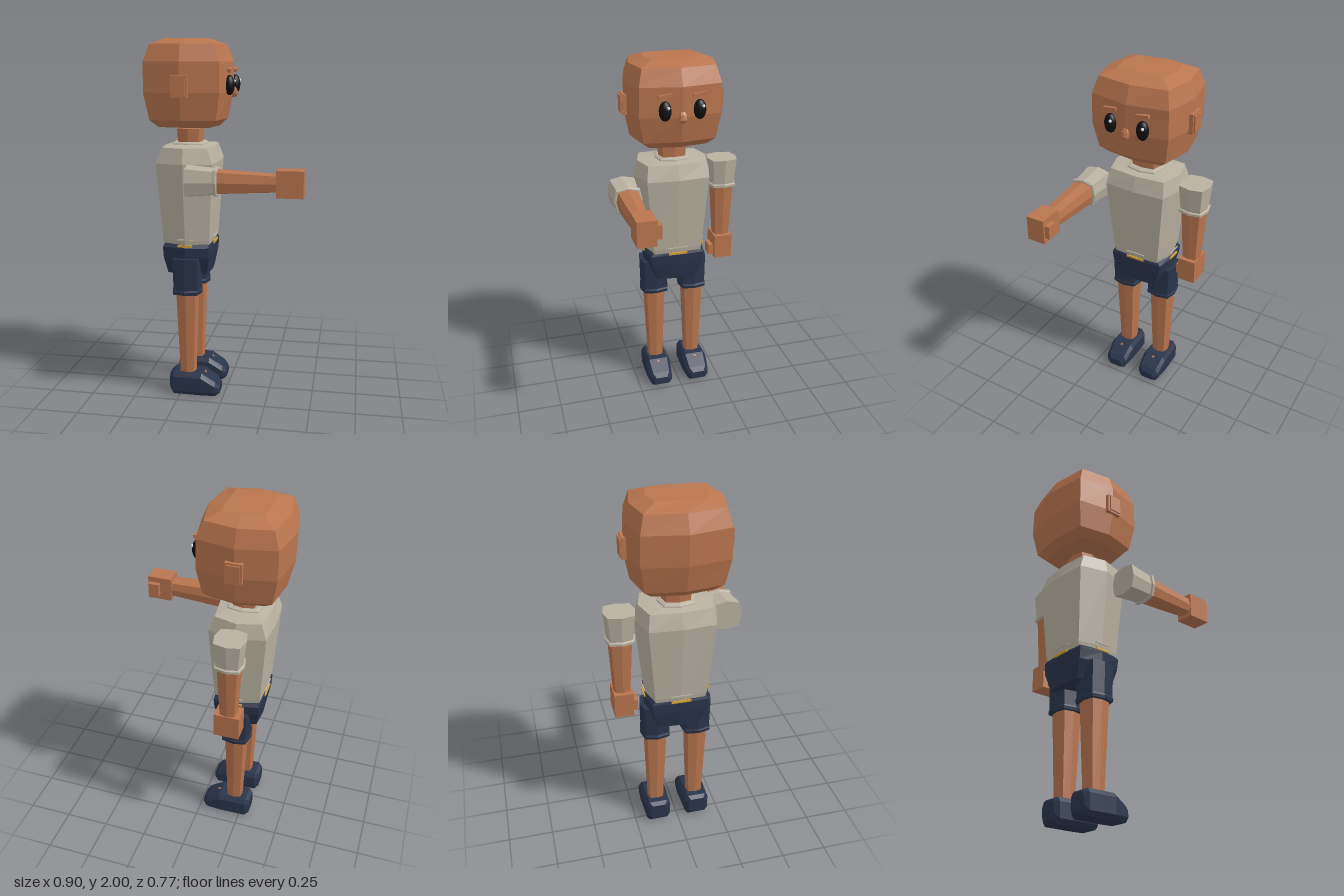
import * as THREE from 'three';

const mat = (name, color) => Object.assign(new THREE.MeshStandardMaterial({ color, flatShading: true }), { name });

// Skin over a stack of equal-length rings of [x, y, z] points, closed with fans at both ends
function loft(rings) {
  const pos = [];
  const tri = (...p) => p.forEach(v => pos.push(...v));
  const n = rings[0].length;
  for (let r = 0; r < rings.length - 1; r++) {
    for (let i = 0; i < n; i++) {
      const j = (i + 1) % n, a = rings[r], b = rings[r + 1];
      tri(a[i], a[j], b[j]);
      tri(a[i], b[j], b[i]);
    }
  }
  const centre = ring => [0, 1, 2].map(k => ring.reduce((s, p) => s + p[k], 0) / n);
  const first = rings[0], last = rings[rings.length - 1];
  for (let i = 0; i < n; i++) {
    const j = (i + 1) % n;
    tri(centre(first), first[j], first[i]);
    tri(centre(last), last[i], last[j]);
  }
  const g = new THREE.BufferGeometry();
  g.setAttribute('position', new THREE.Float32BufferAttribute(pos, 3));
  g.computeVertexNormals();
  return g;
}

// Eight-point ring: middle and corner half-widths in x and z
const ring = (y, xm, xc, zc, zm) => [
  [xm, y, 0], [xc, y, -zc], [0, y, -zm], [-xc, y, -zc],
  [-xm, y, 0], [-xc, y, zc], [0, y, zm], [xc, y, zc]];
const round = (y, r) => ring(y, r, r * 0.82, r * 0.82, r);

export function createModel() {
  const skin = mat('skin', 0xb9754f);
  const shirt = mat('shirt', 0xb9b1a1);
  const navy = mat('navy cloth', 0x2a344a);
  const gold = mat('gold belt', 0xd6a233);
  const black = mat('eye black', 0x101010);
  const white = mat('eye glint', 0xe8e8e8);
  black.flatShading = white.flatShading = false;

  const model = new THREE.Group();
  const body = new THREE.Group();
  body.name = 'body';
  body.position.x = -0.21;
  model.add(body);

  const add = (parent, name, geo, material, x = 0, y = 0, z = 0) => {
    const m = new THREE.Mesh(geo, material);
    m.name = name;
    m.position.set(x, y, z);
    parent.add(m);
    return m;
  };
  const box = (w, h, d) => new THREE.BoxGeometry(w, h, d);

  // Head
  add(body, 'head', loft([
    ring(1.535, 0.165, 0.14, 0.16, 0.19),
    ring(1.575, 0.208, 0.18, 0.2, 0.238),
    ring(1.72, 0.242, 0.204, 0.225, 0.267),
    ring(1.88, 0.244, 0.203, 0.223, 0.266),
    ring(1.97, 0.206, 0.172, 0.2, 0.235),
    ring(2.0, 0.11, 0.105, 0.13, 0.155)]), skin);
  add(body, 'nose', loft([
    ring(1.69, 0.015, 0.012, 0.01, 0.012),
    ring(1.71, 0.028, 0.022, 0.018, 0.021),
    ring(1.735, 0.02, 0.016, 0.016, 0.019),
    ring(1.75, 0.008, 0.006, 0.01, 0.012)]), skin, 0.24);

  // Face features and ears
  for (const s of [1, -1]) {
    const ear = new THREE.Group();
    ear.name = 'ear';
    body.add(ear);
    add(ear, 'earBase', box(0.088, 0.112, 0.06), skin, 0, 1.755, s * 0.25);
    add(ear, 'earRim', box(0.07, 0.094, 0.01), skin, 0, 1.755, s * 0.284);

    const eye = add(body, 'eye', new THREE.SphereGeometry(1, 16, 12), black, 0.235, 1.757, s * 0.094);
    eye.scale.set(0.029, 0.053, 0.034);
    add(body, 'eyeGlint', new THREE.SphereGeometry(0.009, 8, 6), white, 0.258, 1.778, s * 0.094 - 0.013);
    const brow = add(body, 'eyebrow', box(0.02, 0.017, 0.074), skin, 0.237, 1.837, s * 0.094);
    brow.rotation.x = 0.14;
  }

  // Neck, collar and shirt
  add(body, 'neck', loft([round(1.42, 0.068), round(1.52, 0.075)]), skin).scale.z = 1.12;
  add(body, 'collar', loft([round(1.42, 0.105), round(1.44, 0.1), round(1.447, 0.085)]), shirt);
  add(body, 'shirtBody', loft([
    ring(0.885, 0.133, 0.125, 0.138, 0.172),
    ring(0.91, 0.137, 0.13, 0.142, 0.177),
    ring(1.34, 0.168, 0.155, 0.178, 0.222),
    ring(1.425, 0.142, 0.125, 0.165, 0.2),
    ring(1.435, 0.09, 0.075, 0.08, 0.1)]), shirt);

  // Shorts hips with belt plates on the four sides
  add(body, 'shortsHips', loft([
    ring(0.712, 0.122, 0.112, 0.115, 0.142),
    ring(0.81, 0.135, 0.128, 0.15, 0.178),
    ring(0.87, 0.138, 0.13, 0.158, 0.182),
    ring(0.89, 0.132, 0.122, 0.142, 0.168)]), navy);
  for (const s of [1, -1]) {
    add(body, 'beltPlate', box(0.008, 0.012, 0.11), gold, s * 0.139, 0.882, 0);
    add(body, 'beltPlate', box(0.08, 0.012, 0.008), gold, 0, 0.882, s * 0.18);
    add(body, 'shirtFold', box(0.006, 0.006, 0.12), shirt, s * 0.14, 0.917, 0);
    add(body, 'shirtFold', box(0.09, 0.006, 0.006), shirt, 0, 0.917, s * 0.18);
  }

  // Shoe cross-section across x: bevelled box from y0 to y1
  const shoeRing = (x, y0, y1, w) => {
    const c = Math.min(0.025, (y1 - y0) * 0.3), v = w * 0.75;
    return [[x, y1, -v], [x, y1, v], [x, y1 - c, w], [x, y0 + c, w],
      [x, y0, v], [x, y0, -v], [x, y0 + c, -w], [x, y1 - c, -w]];
  };

  // Legs
  for (const s of [1, -1]) {
    const leg = new THREE.Group();
    leg.name = s > 0 ? 'rightLeg' : 'leftLeg';
    leg.position.z = s * 0.117;
    body.add(leg);
    add(leg, 'shortsLeg', loft([
      round(0.603, 0.083), round(0.62, 0.086), round(0.63, 0.081), round(0.81, 0.085)]), navy);
    add(leg, 'shin', loft([round(0.1, 0.046), round(0.61, 0.066)]), skin);
    add(leg, 'shoe', loft([
      shoeRing(-0.1, 0.025, 0.12, 0.05),
      shoeRing(-0.078, 0, 0.135, 0.07),
      shoeRing(0.085, 0, 0.135, 0.075),
      shoeRing(0.165, 0, 0.085, 0.068),
      shoeRing(0.188, 0.015, 0.06, 0.045)]), navy);
    add(leg, 'shoeButton', box(0.014, 0.008, 0.014), skin, 0.1, 0.125, 0).rotation.z = -0.55;
  }

  // Arms hang along -y from the shoulder; the thumb points towards the body
  function arm(name, s) {
    const g = new THREE.Group();
    g.name = name;
    g.position.z = s * 0.298;
    body.add(g);
    add(g, 'sleeve', loft([round(-0.15, 0.071), round(0, 0.085)]), shirt);
    add(g, 'sleeveCuff', loft([
      round(-0.168, 0.073), round(-0.164, 0.08), round(-0.15, 0.08), round(-0.145, 0.071)]), shirt);
    add(g, 'forearm', loft([round(-0.485, 0.048), round(-0.16, 0.066)]), skin);
    add(g, 'hand', box(0.14, 0.14, 0.104), skin, 0, -0.543, 0);
    add(g, 'thumb', box(0.075, 0.062, 0.035), skin, 0, -0.572, -s * 0.062);
    return g;
  }
  arm('loweredArm', -1).position.y = 1.4;
  const raised = arm('raisedArm', 1);
  raised.position.set(0.045, 1.27, 0.298);
  raised.rotation.z = Math.PI / 2;

  return model;
}
